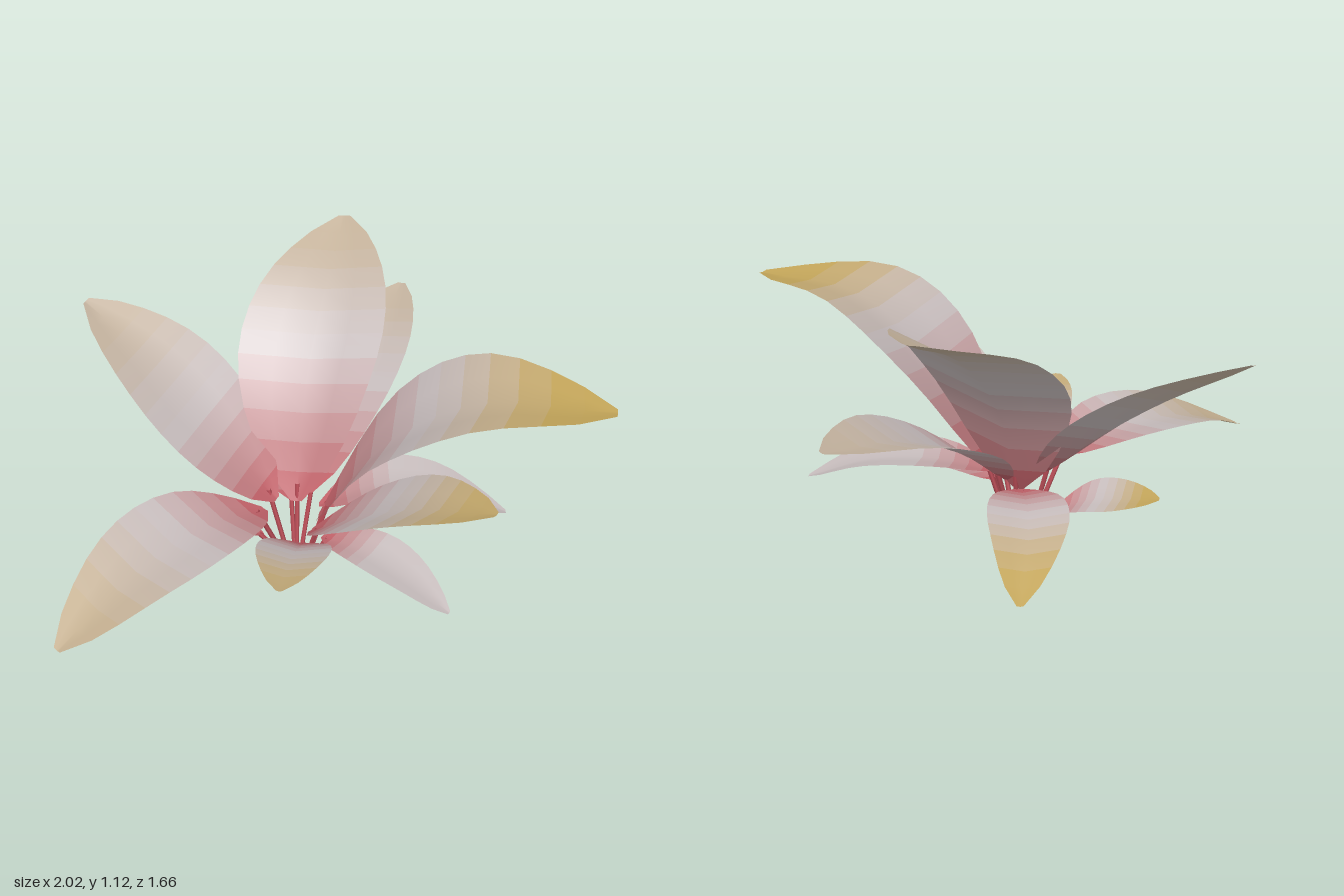
import * as THREE from 'three';

const RED = new THREE.Color(0xc0505a);
const GREY = new THREE.Color(0xc6bcbc);
const GOLD = new THREE.Color(0xc0a040);
const CROWN_X = 0.06;
const ROWS = 12;
const COLUMNS = 4;

// half-width of the blade from its base (t = 0) to its blunt tip (t = 1)
const widthAt = (t) => 0.08 + 0.92 * Math.sin(Math.PI * t ** 0.97) ** 0.75;

// red at the base, grey along the blade, gold towards the tip
function bandMaterial(t, gold) {
  const color = RED.clone().lerp(GREY, Math.min(1, t / 0.45));
  color.lerp(GOLD, gold * THREE.MathUtils.smoothstep(t, 0.45, 0.9));
  return new THREE.MeshStandardMaterial({ color, side: THREE.DoubleSide });
}

// blade swept along its midrib, with the edges raised into a shallow trough;
// roll lifts the right-hand edge, as seen from the crown, above the left
function makeBlade(rib, halfWidth, roll, gold) {
  const along = rib.getPoint(1).sub(rib.getPoint(0));
  const across = new THREE.Vector3(-along.z, 0, along.x).setLength(halfWidth);
  across.y = roll;
  const up = new THREE.Vector3().crossVectors(across, along).normalize();
  const geometry = new THREE.BufferGeometry();
  const positions = [];
  const indices = [];
  const materials = [];
  const stride = COLUMNS + 1;
  for (let i = 0; i <= ROWS; i++) {
    const t = i / ROWS;
    const width = widthAt(t);
    for (let j = 0; j <= COLUMNS; j++) {
      const u = (2 * j) / COLUMNS - 1;
      const p = rib.getPoint(t).addScaledVector(across, u * width);
      p.addScaledVector(up, 0.2 * halfWidth * width * (Math.abs(u) - 0.5));
      positions.push(p.x, p.y, p.z);
    }
  }
  for (let i = 0; i < ROWS; i++) {
    geometry.addGroup(indices.length, COLUMNS * 6, i);
    materials.push(bandMaterial((i + 0.5) / ROWS, gold));
    for (let j = 0; j < COLUMNS; j++) {
      const a = i * stride + j;
      indices.push(a, a + 1, a + stride, a + 1, a + stride + 1, a + stride);
    }
  }
  geometry.setAttribute('position', new THREE.Float32BufferAttribute(positions, 3));
  geometry.setIndex(indices);
  geometry.computeVertexNormals();
  return new THREE.Mesh(geometry, materials);
}

// slim stalk from the ground to the start of the blade
function makeStalk(rib) {
  const top = rib.getPoint(0.05);
  const foot = new THREE.Vector3(top.x - CROWN_X, 0, top.z).setLength(0.04);
  foot.x += CROWN_X;
  foot.y = 0.005;
  const material = new THREE.MeshStandardMaterial({ color: RED });
  const path = new THREE.LineCurve3(foot, top);
  return new THREE.Mesh(new THREE.TubeGeometry(path, 1, 0.01, 4), material);
}

// a leaf follows evenly spaced midrib points from its base to its tip
function makeLeaf(name, points, halfWidth, roll, gold) {
  const rib = new THREE.CatmullRomCurve3(points.map((p) => new THREE.Vector3(...p)));
  const blade = makeBlade(rib, halfWidth, roll, gold);
  blade.name = name + 'Blade';
  const stalk = makeStalk(rib);
  stalk.name = name + 'Stalk';
  const leaf = new THREE.Group();
  leaf.name = name;
  leaf.add(blade, stalk);
  return leaf;
}

export function createModel() {
  const plant = new THREE.Group();
  plant.name = 'plant';
  plant.add(
    // tall leaves
    makeLeaf('tallBackLeaf',
      [[0.09, 0.24, -0.09], [0.19, 0.68, -0.28], [0.36, 0.96, -0.52], [0.57, 1.11, -0.82]], 0.29, 0.03, 0.4),
    makeLeaf('backRightLeaf',
      [[0, 0.28, -0.08], [-0.16, 0.52, -0.27], [-0.35, 0.75, -0.51], [-0.57, 0.94, -0.77]], 0.23, 0.05, 0.35),
    makeLeaf('backLeftLeaf',
      [[0.14, 0.28, -0.08], [0.34, 0.52, -0.29], [0.59, 0.69, -0.53], [0.84, 0.76, -0.78]], 0.2, 0.02, 0.35),
    makeLeaf('largeFrontLeaf',
      [[0.13, 0.25, 0.05], [0.35, 0.7, 0.19], [0.62, 0.94, 0.4], [1, 0.955, 0.67]], 0.3, 0, 0.9),
    makeLeaf('frontLeaf',
      [[0.09, 0.22, 0.08], [0.19, 0.44, 0.29], [0.32, 0.64, 0.55], [0.47, 0.76, 0.82]], 0.19, -0.02, 0.8),
    // arching and low leaves
    makeLeaf('longRightLeaf',
      [[-0.08, 0.32, 0.01], [-0.34, 0.4, 0.1], [-0.66, 0.375, 0.24], [-1, 0.22, 0.4]], 0.23, 0, 0.5),
    makeLeaf('smallFrontRightLeaf',
      [[0.03, 0.21, 0.13], [-0.04, 0.33, 0.27], [-0.13, 0.41, 0.43], [-0.23, 0.44, 0.6]], 0.14, 0, 0.7),
    makeLeaf('leftLeaf',
      [[0.15, 0.28, 0.01], [0.38, 0.355, 0.03], [0.63, 0.34, 0.12], [0.88, 0.22, 0.24]], 0.15, 0, 0),
    makeLeaf('lowBackLeaf',
      [[0.08, 0.24, -0.1], [0.1, 0.295, -0.32], [0.14, 0.265, -0.54], [0.22, 0.14, -0.79]], 0.15, 0, 0.9),
    makeLeaf('lowFrontLeftLeaf',
      [[0.13, 0.19, 0.1], [0.24, 0.22, 0.24], [0.36, 0.18, 0.4], [0.47, 0.09, 0.58]], 0.12, 0, 0),
    makeLeaf('lowBackRightLeaf',
      [[-0.06, 0.12, -0.07], [-0.18, 0.175, -0.1], [-0.3, 0.21, -0.19], [-0.42, 0.24, -0.3]], 0.1, -0.03, 0.9),
  );
  return plant;
}
